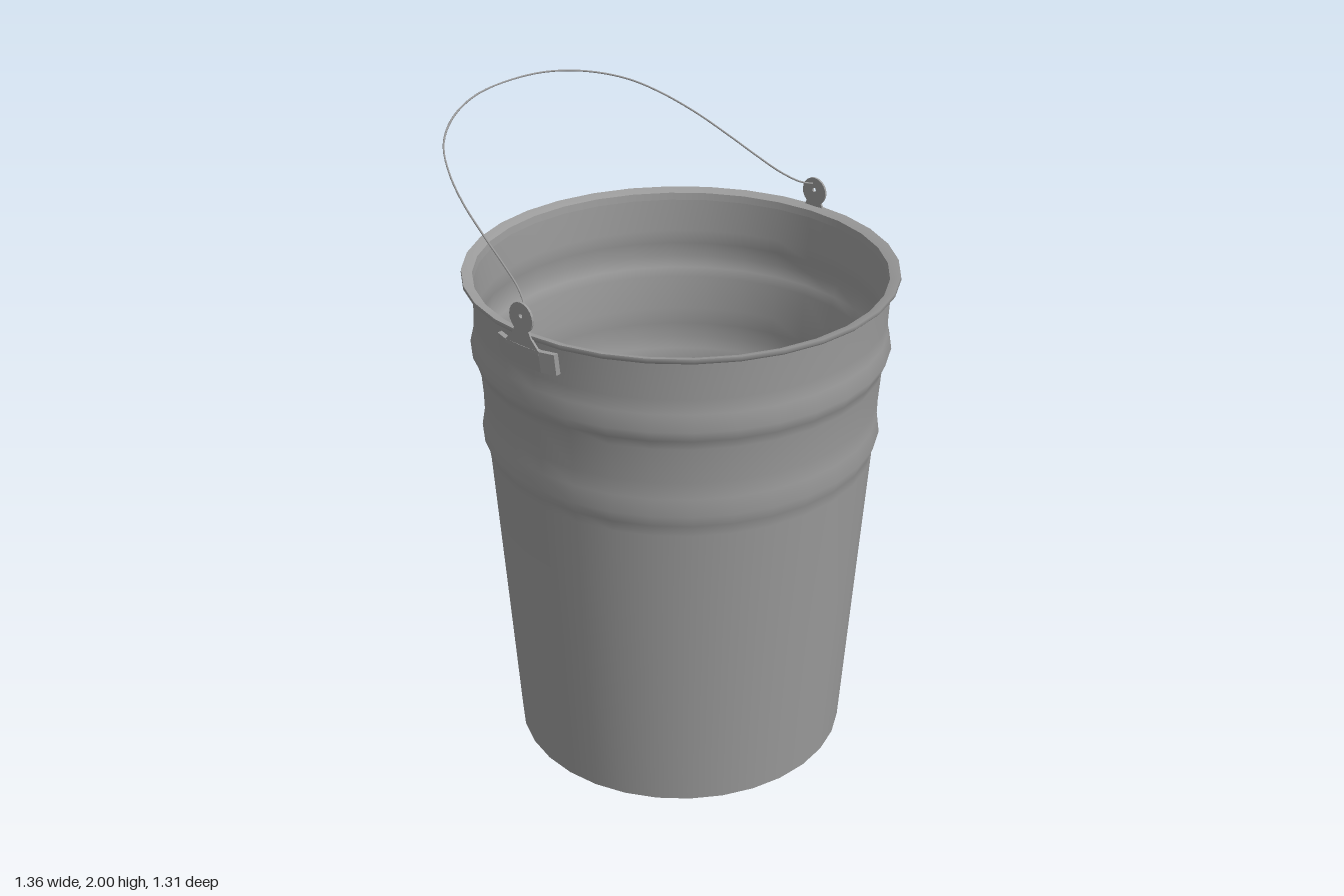
import * as THREE from 'three';

const SIDES = 32;
const CX = 0.022, CZ = -0.006; // bucket axis

const metal = new THREE.MeshStandardMaterial({ color: 0x9b9b9b, side: THREE.DoubleSide });

function add(parent, name, geometry) {
  const mesh = new THREE.Mesh(geometry, metal);
  mesh.name = name;
  parent.add(mesh);
  return mesh;
}

const lathe = (pts) =>
  new THREE.LatheGeometry(pts.map(([r, y]) => new THREE.Vector2(r, y)), SIDES);

// Wall profile: a straight taper with two soft swaged beads
const WALL = [
  [0.524, 0], [0.558, 0.5], [0.592, 0.99], [0.597, 1.025], [0.611, 1.063], [0.602, 1.115],
  [0.603, 1.17], [0.611, 1.28], [0.62, 1.31], [0.635, 1.345], [0.623, 1.395],
  [0.621, 1.44], [0.627, 1.56],
];

function makeBody() {
  const body = new THREE.Group();
  body.name = 'body';
  add(body, 'outerWall', lathe(WALL));
  // inner skin follows the beads from inside
  add(body, 'innerWall', lathe(WALL.map(([r, y]) => [r - 0.008, Math.max(y, 0.012)]).reverse()));
  add(body, 'base', lathe([[0, 0], [0.524, 0]]));
  add(body, 'floor', lathe([[0.517, 0.012], [0, 0.012]]));

  // folded lip around the mouth: underside, edge, flat top and inner turn
  add(body, 'rimUnderside', lathe([[0.625, 1.553], [0.645, 1.56]]));
  add(body, 'rimEdge', lathe([[0.645, 1.56], [0.653, 1.568], [0.652, 1.578]]));
  add(body, 'rimTop', lathe([[0.652, 1.578], [0.636, 1.574], [0.62, 1.568]]));
  add(body, 'rimInside', lathe([[0.62, 1.568], [0.617, 1.545]]));

  // overlapped sheet seam down the back
  const rows = WALL.length - 1;
  const seam = new THREE.BoxGeometry(0.014, 1, 0.01, 1, rows, 1);
  const p = seam.attributes.position;
  for (let i = 0; i < p.count; i++) {
    const [r, y] = WALL[Math.round((p.getY(i) + 0.5) * rows)];
    p.setXYZ(i, p.getX(i) - 0.006, y, p.getZ(i) - r - 0.001);
  }
  seam.computeVertexNormals();
  add(body, 'seam', seam);
  return body;
}

// Clamp band of an ear: folded back at both ends and leaning with the wall
function makeBandGeometry() {
  const g = new THREE.BoxGeometry(0.222, 0.066, 0.016, 4, 1, 1).toNonIndexed();
  const p = g.attributes.position;
  for (let i = 0; i < p.count; i++) {
    const x = Math.abs(p.getX(i)), y = p.getY(i);
    const fold = x > 0.1 ? 0.016 : x > 0.01 ? 0.002 : 0;
    const wide = x > 0.01 && x < 0.1 ? 1.16 : 1;
    p.setXYZ(i, p.getX(i) * wide, y + 1.508, p.getZ(i) + 0.642 - fold + y * 0.12);
  }
  g.computeVertexNormals();
  return g;
}

// Upper plate of an ear: tapering neck and round head with a wire hole
function makePlateGeometry() {
  const s = new THREE.Shape();
  s.moveTo(-0.064, 1.53);
  s.lineTo(0.064, 1.53);
  s.lineTo(0.064, 1.543);
  s.lineTo(0.036, 1.572);
  s.lineTo(0.028, 1.59);
  s.absarc(0, 1.625, 0.045, -0.9, Math.PI + 0.9, false);
  s.lineTo(-0.036, 1.572);
  s.lineTo(-0.064, 1.543);
  s.closePath();
  const hole = new THREE.Path();
  hole.absarc(0, 1.63, 0.007, 0, Math.PI * 2, true);
  s.holes.push(hole);
  return new THREE.ExtrudeGeometry(s, { depth: 0.007, bevelEnabled: false, curveSegments: 8 })
    .translate(0, 0, 0.645);
}

// Wire bail, leaning over to one side
function makeBail() {
  // [half width, share of the way to the top]
  const half = [
    [0.645, 0], [0.61, 0.03], [0.577, 0.11], [0.555, 0.23], [0.535, 0.37],
    [0.505, 0.54], [0.46, 0.69], [0.4, 0.81], [0.3, 0.91], [0.16, 0.98],
  ];
  const point = (side) => ([w, t]) =>
    new THREE.Vector3(0.012 - 0.69 * t, 1.637 - side * 0.014 * (1 - t) + 0.36 * t, side * w);
  const pts = [
    ...half.map(point(1)),
    new THREE.Vector3(-0.678, 1.997, 0),
    ...half.map(point(-1)).reverse(),
  ];
  return new THREE.TubeGeometry(new THREE.CatmullRomCurve3(pts), 90, 0.003, 6, false);
}

export function createModel() {
  const bucket = new THREE.Group();
  bucket.name = 'bucket';

  const body = makeBody();
  body.position.set(CX, 0, CZ);
  bucket.add(body);

  const band = makeBandGeometry(), plate = makePlateGeometry();
  for (const [name, turn] of [['frontEar', 0], ['backEar', Math.PI]]) {
    const ear = new THREE.Group();
    ear.name = name;
    add(ear, 'clampBand', band);
    add(ear, 'earPlate', plate);
    ear.rotation.y = turn;
    ear.position.set(0.016, 0, -0.003);
    bucket.add(ear);
  }

  add(bucket, 'bail', makeBail());
  return bucket;
}
